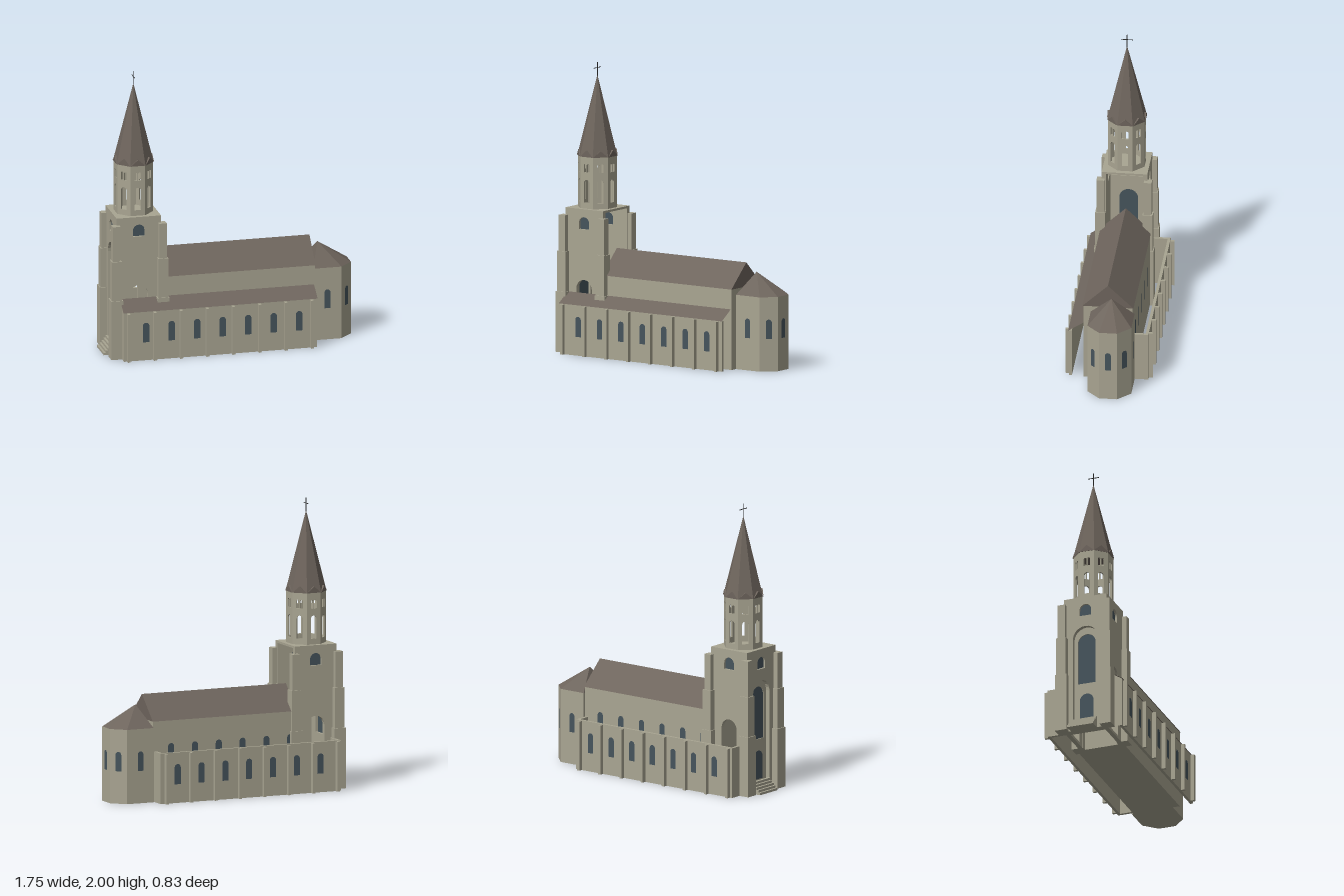
import * as THREE from 'three';

const mat = (name, color, double) => {
  const m = new THREE.MeshStandardMaterial({ color });
  m.name = name;
  if (double) m.side = THREE.DoubleSide;
  return m;
};

export function createModel() {
  const stone = mat('stone', 0xa9a592, true);
  const slate = mat('roof slate', 0x6e655d, true);
  const glass = mat('window glass', 0x46545c, true);
  const iron = mat('iron', 0x2a2a2a);

  const model = new THREE.Group();
  const church = new THREE.Group();
  church.name = 'church';
  church.rotation.y = 0.1855;
  model.add(church);

  const add = (name, geo, material, parent = church) => {
    const mesh = new THREE.Mesh(geo, material);
    mesh.name = name;
    parent.add(mesh);
    return mesh;
  };
  // Box from its limits along x, y and z
  const box = (name, x0, x1, y0, y1, z0, z1, material = stone) => {
    const mesh = add(name, new THREE.BoxGeometry(x1 - x0, y1 - y0, z1 - z0), material);
    mesh.position.set((x0 + x1) / 2, (y0 + y1) / 2, (z0 + z1) / 2);
    return mesh;
  };
  // Faceted surface from triangles of points
  const facets = (name, triangles, material) => {
    const geo = new THREE.BufferGeometry();
    geo.setAttribute('position', new THREE.Float32BufferAttribute(triangles.flat(2), 3));
    geo.computeVertexNormals();
    return add(name, geo, material);
  };
  // Round-headed outline; x is its centre
  const arch = (x, w, y0, y1, Kind = THREE.Shape) => {
    const p = new Kind(), r = w / 2;
    p.moveTo(x - r, y0);
    p.lineTo(x + r, y0);
    p.lineTo(x + r, y1 - r);
    p.absarc(x, y1 - r, r, 0, Math.PI, false);
    p.closePath();
    return p;
  };
  const pane = (name, x, z, angle, w, y0, y1) => {
    const mesh = add(name, new THREE.ShapeGeometry(arch(0, w, y0, y1), 6), glass);
    mesh.position.set(x + Math.sin(angle) * 0.003, 0, z + Math.cos(angle) * 0.003);
    mesh.rotation.y = angle;
  };
  // Upright wall with arched openings [x, width, y0, y1], its outer face at a distance from a centre
  const wall = (name, cx, cz, dist, angle, w, y0, y1, t, openings) => {
    const s = new THREE.Shape();
    s.moveTo(-w / 2, y0);
    s.lineTo(w / 2, y0);
    s.lineTo(w / 2, y1);
    s.lineTo(-w / 2, y1);
    s.closePath();
    openings.forEach(o => s.holes.push(arch(...o, THREE.Path)));
    const geo = new THREE.ExtrudeGeometry(s, { depth: t, bevelEnabled: false, curveSegments: 6 });
    geo.translate(0, 0, dist - t);
    const mesh = add(name, geo, stone);
    mesh.position.set(cx, 0, cz);
    mesh.rotation.y = angle;
  };

  // Nave with gabled roof
  box('nave', -0.488, 0.597, 0, 0.56, -0.19, 0.15);
  const gable = new THREE.Shape([[-0.176, 0.558], [0.176, 0.558], [0, 0.725]].map(p => new THREE.Vector2(...p)));
  const roof = add('naveRoof', new THREE.ExtrudeGeometry(gable, { depth: 1.088, bevelEnabled: false }), slate);
  roof.rotation.y = Math.PI / 2;
  roof.position.set(-0.488, 0, -0.02);

  // South aisle: wall, west end and lean-to roof, open at the east
  box('southAisleWall', -0.775, 0.588, 0, 0.35, 0.23, 0.25);
  facets('southAisleWestEnd', [
    [[-0.775, 0, 0.15], [-0.775, 0, 0.25], [-0.775, 0.35, 0.25]],
    [[-0.775, 0, 0.15], [-0.775, 0.35, 0.25], [-0.775, 0.415, 0.15]]], stone);
  facets('southAisleRoof', [
    [[-0.78, 0.35, 0.256], [0.59, 0.35, 0.256], [0.59, 0.42, 0.15]],
    [[-0.78, 0.35, 0.256], [0.59, 0.42, 0.15], [-0.78, 0.42, 0.15]]], slate);

  // North aisle: roofless walls
  box('northAisleWall', -0.775, 0.588, 0, 0.35, -0.297, -0.277);
  box('northAisleWestEnd', -0.775, -0.755, 0, 0.35, -0.277, -0.16);
  box('northAisleEastEnd', 0.568, 0.588, 0, 0.35, -0.277, -0.19);

  // Aisle buttresses and windows
  for (let i = 0; i < 8; i++) {
    const x = -0.745 + i * 0.1848;
    box('southButtress', x - 0.01, x + 0.01, 0, 0.345, 0.25, 0.278);
    box('northButtress', x - 0.01, x + 0.01, 0, 0.345, -0.325, -0.297);
  }
  for (let i = 0; i < 7; i++) {
    const x = -0.62 + i * 0.18;
    pane('southAisleWindow', x, 0.25, 0, 0.046, 0.13, 0.27);
    pane('northAisleWindow', x, -0.297, Math.PI, 0.046, 0.13, 0.27);
    if (i > 0) {
      pane('naveSouthWindow', x, 0.15, 0, 0.046, 0.25, 0.4);
      pane('naveNorthWindow', x, -0.19, Math.PI, 0.046, 0.25, 0.4);
    }
  }

  // Polygonal apse
  const plan = [[0.597, -0.203], [0.797, -0.203], [0.886, -0.1145], [0.886, 0.0105], [0.797, 0.099], [0.597, 0.099]];
  const apse = add('apse', new THREE.ExtrudeGeometry(
    new THREE.Shape(plan.map(([x, z]) => new THREE.Vector2(x, -z))), { depth: 0.515, bevelEnabled: false }), stone);
  apse.rotation.x = -Math.PI / 2;
  const peak = [0.664, 0.662, -0.052];
  facets('apseRoof', plan.map(([x, z], i) => {
    const [x2, z2] = plan[(i + 1) % 6];
    return [[x2, 0.515, z2], [x, 0.515, z], peak];
  }), slate);
  for (let i = 0; i < 5; i++) {
    const [x, z] = plan[i], [x2, z2] = plan[i + 1];
    pane('apseWindow', (x + x2) / 2, (z + z2) / 2, Math.atan2(z2 - z, x - x2), 0.042, 0.225, 0.36);
  }

  // Tower: three walls, open to the nave on the east
  const cx = -0.645, cz = -0.01, h = 0.157;
  const upper = [0, 0.085, 0.86, 0.945];
  wall('towerSouthWall', cx, cz, h, 0, 2 * h, 0, 0.99, 0.03, [upper, [0, 0.13, 0.02, 0.51]]);
  wall('towerNorthWall', cx, cz, h, Math.PI, 2 * h, 0, 0.99, 0.03, [upper, [0, 0.13, 0.02, 0.51]]);
  wall('towerWestWall', cx, cz, h, -Math.PI / 2, 2 * h - 0.06, 0, 0.99, 0.03, [upper, [0, 0.18, 0.02, 0.78]]);
  wall('westRecess', cx, cz, h - 0.03, -Math.PI / 2, 2 * h - 0.06, 0, 0.835, 0.025, [[0, 0.13, 0.36, 0.73]]);
  pane('westWindow', cx - h + 0.04, cz, -Math.PI / 2, 0.13, 0.36, 0.73);
  pane('westDoor', cx - h + 0.03, cz, -Math.PI / 2, 0.1, 0.08, 0.28);
  for (const a of [0, Math.PI, -Math.PI / 2])
    pane('towerWindow', cx + Math.sin(a) * (h - 0.018), cz + Math.cos(a) * (h - 0.018), a, 0.085, 0.86, 0.945);
  box('towerTop', cx - h, cx + h, 0.985, 1, cz - h, cz + h);

  // Stepped corner buttresses
  for (const sx of [-1, 1]) for (const sz of [-1, 1]) {
    [[0, 0.42, 0.042], [0.42, 0.7, 0.035], [0.7, 0.95, 0.027]].forEach(([y0, y1, r]) => {
      const x = cx + sx * (h + 0.006), z = cz + sz * (h + 0.006);
      box('towerButtress', x - r, x + r, y0, y1, z - r, z + r);
    });
  }

  // Entrance steps
  for (let i = 0; i < 5; i++)
    box('entranceStep', -0.875 + i * 0.015, -0.795, i * 0.016, (i + 1) * 0.016, cz - 0.105, cz + 0.085);

  // Octagonal belfry with small gables at the foot of the spire
  const apothem = 0.126, half = apothem * Math.tan(Math.PI / 8);
  for (let i = 0; i < 8; i++) {
    const a = i * Math.PI / 4;
    wall('belfryWall', cx, cz, apothem, a, 2 * half, 1, 1.36, 0.012,
      [[0, 0.044, 1.04, 1.2], [-0.013, 0.02, 1.25, 1.31], [0.013, 0.02, 1.25, 1.31]]);
    const p = (s, y, d) => [cx + Math.cos(a) * s + Math.sin(a) * d, y, cz - Math.sin(a) * s + Math.cos(a) * d];
    const l = p(-half, 1.358, 0.133), r = p(half, 1.358, 0.133), top = p(0, 1.402, 0.133), back = p(0, 1.402, 0.115);
    facets('spireGable', [[l, r, top], [l, top, back], [r, back, top]], slate);
  }

  // Spire and cross
  const spireGeo = new THREE.ConeGeometry(0.14, 0.557, 8).toNonIndexed();
  spireGeo.computeVertexNormals();
  const spire = add('spire', spireGeo, slate);
  spire.rotation.y = Math.PI / 8;
  spire.position.set(cx, 1.6365, cz);
  box('crossPost', cx - 0.002, cx + 0.002, 1.9, 2, cz - 0.002, cz + 0.002, iron);
  box('crossArm', cx - 0.002, cx + 0.002, 1.961, 1.965, cz - 0.04, cz + 0.04, iron);

  return model;
}
